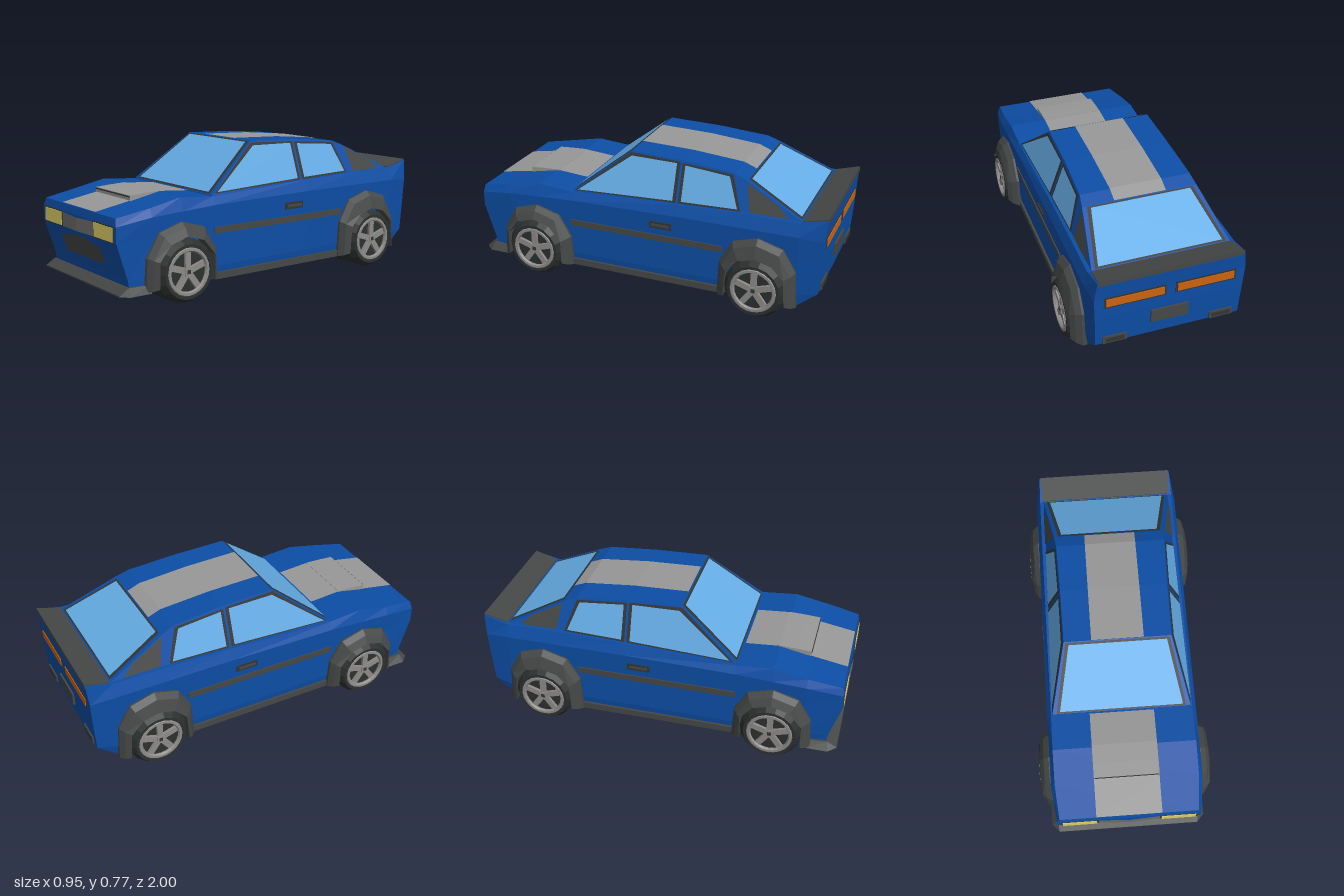
import * as THREE from 'three';

const colour = (name, hex) => new THREE.MeshStandardMaterial({ name, color: hex, flatShading: true, side: THREE.DoubleSide });
const M = {
  blue: colour('body blue', 0x0d4ea6),
  stripe: colour('stripe grey', 0x989898),
  trim: colour('trim grey', 0x454847),
  tyre: colour('tyre black', 0x2c302f),
  frame: colour('frame black', 0x333533),
  glass: colour('glass blue', 0x66aee8),
  lamp: colour('headlight yellow', 0xe0d26a),
  tail: colour('tail light orange', 0xcc6410),
  rim: colour('rim grey', 0x8e8a8a),
  grille: colour('grille grey', 0x6e6e6e),
};

function mesh(name, geometry, material) {
  const m = new THREE.Mesh(geometry, material);
  m.name = name;
  return m;
}

function box(name, material, w, h, d, x, y, z) {
  const m = mesh(name, new THREE.BoxGeometry(w, h, d), material);
  m.position.set(x, y, z);
  return m;
}

// Geometry from quads or polygons, each fanned into triangles
function faces(polygons) {
  const pos = [];
  for (const p of polygons)
    for (let i = 1; i < p.length - 1; i++) pos.push(...p[0], ...p[i], ...p[i + 1]);
  const g = new THREE.BufferGeometry();
  g.setAttribute('position', new THREE.Float32BufferAttribute(pos, 3));
  g.computeVertexNormals();
  return g;
}

const flip = ([x, y, z]) => [-x, y, z];

// Symmetric loft: each section lists its +x half from bottom to top, front to back
function loft(sections) {
  const rings = sections.map(s => [...s, ...s.map(flip).reverse()]);
  const quads = [];
  for (let j = 0; j < rings.length - 1; j++) {
    const a = rings[j], b = rings[j + 1], n = a.length;
    for (let i = 0; i < n; i++) {
      const k = (i + 1) % n;
      quads.push([a[i], b[i], b[k], a[k]]);
    }
  }
  const cap = s => s.slice(1).map((p, i) => [s[i], p, flip(p), flip(s[i])]);
  quads.push(...cap(sections[0]), ...cap(sections.at(-1)).map(q => q.reverse()));
  return faces(quads);
}

// Moves a flat outline off the surface and optionally shrinks it
function offset(points, lift, inset = 0) {
  const v = points.map(p => new THREE.Vector3(...p));
  const n = v[1].clone().sub(v[0]).cross(v[2].clone().sub(v[0])).normalize();
  const c = v.reduce((s, p) => s.add(p), new THREE.Vector3()).divideScalar(v.length);
  if (n.dot(c.clone().sub(new THREE.Vector3(0, 0.4, -0.2))) < 0) n.negate();
  return v.map(p => p.clone().add(c.clone().sub(p).normalize().multiplyScalar(inset)).addScaledVector(n, lift).toArray());
}

function windowPane(name, points) {
  const g = new THREE.Group();
  g.name = name;
  g.add(mesh('windowFrame', faces([offset(points, 0.003)]), M.frame));
  g.add(mesh('windowGlass', faces([offset(points, 0.006, 0.02)]), M.glass));
  return g;
}

// Strip across the car that follows a [z, y] profile
function stripe(name, w, profile) {
  const quads = profile.slice(1).map(([z, y], i) => {
    const [z0, y0] = profile[i];
    return [[-w, y0 + 0.004, z0], [w, y0 + 0.004, z0], [w, y + 0.004, z], [-w, y + 0.004, z]];
  });
  return mesh(name, faces(quads), M.stripe);
}

function wheel(z, side) {
  const g = new THREE.Group();
  g.name = 'wheel';
  const profile = [[0, 0.26], [0.165, 0.26], [0.165, 0.44], [0.142, 0.474], [0.126, 0.474], [0.118, 0.45], [0, 0.45]];
  const tyre = mesh('tyre', new THREE.LatheGeometry(profile.map(p => new THREE.Vector2(...p)), 18), M.tyre);
  tyre.rotation.z = -Math.PI / 2;
  g.add(tyre);
  const ring = mesh('rimRing', new THREE.TorusGeometry(0.114, 0.013, 6, 24), M.rim);
  ring.rotation.y = Math.PI / 2;
  ring.position.x = 0.465;
  g.add(ring);
  for (let i = 0; i < 5; i++) {
    const arm = new THREE.Group();
    arm.name = 'spokeArm';
    arm.add(box('spoke', M.rim, 0.016, 0.095, 0.032, 0.458, 0.062, 0));
    arm.rotation.x = i * Math.PI * 2 / 5;
    g.add(arm);
  }
  g.add(box('hub', M.rim, 0.024, 0.04, 0.04, 0.459, 0, 0));
  g.add(box('hubCap', M.frame, 0.004, 0.02, 0.02, 0.472, 0, 0));
  g.position.set(0, 0.165, z);
  if (side < 0) g.rotation.y = Math.PI;
  return g;
}

// Flared arch: body edge, slope, then a rim turned back into the body
function arch(z, rise, side) {
  const outline = [[0.215, 0.08], [0.205, 0.25], [0.135, 0.37], [0, 0.41], [-0.135, 0.37], [-0.205, 0.25], [-0.215, 0.08]];
  const rows = outline.map(([dz, h]) => {
    const y = h > 0.1 ? h + rise : h;
    const at = (x, k) => [side * x, Math.max(0.08, 0.165 + (y - 0.165) * k), z + dz * k];
    const inner = 0.178 / Math.hypot(dz, y - 0.165);
    return [at(0.39, 1), at(0.415, 1), at(0.445, 0.9), at(0.466, inner), at(0.39, inner)];
  });
  const quads = [];
  for (let i = 0; i < rows.length - 1; i++)
    for (let k = 0; k < 4; k++) {
      const q = [rows[i][k], rows[i][k + 1], rows[i + 1][k + 1], rows[i + 1][k]];
      quads.push(side > 0 ? q : q.reverse());
    }
  return mesh('wheelArch', faces(quads), M.trim);
}

export function createModel() {
  const car = new THREE.Group();
  car.name = 'car';

  // Lower body
  const station = (z, shoulder, top, topX = 0.385) =>
    [[0.39, 0.08, z], [0.4, 0.15, z], [0.403, 0.34, z], [0.408, shoulder, z], [topX, top, z]];
  car.add(mesh('body', loft([
    [[0.385, 0.08, 0.92], [0.385, 0.15, 0.93], [0.385, 0.34, 0.99], [0.385, 0.42, 0.99], [0.37, 0.46, 0.983]],
    station(0.8, 0.45, 0.492), station(0.62, 0.46, 0.528), station(0.42, 0.47, 0.512),
    station(-0.2, 0.48, 0.54), station(-0.6, 0.48, 0.55), station(-0.86, 0.48, 0.55),
    [[0.38, 0.08, -0.865], [0.385, 0.17, -0.97], [0.39, 0.35, -0.982], [0.395, 0.47, -0.987], [0.38, 0.585, -0.997]],
  ]), M.blue));

  // Cabin with planar leaning sides
  const sideX = y => 0.375 - 0.36 * (y - 0.52);
  const roof = [[0.42, 0.515], [0.1, 0.765], [-0.2, 0.755], [-0.48, 0.73], [-0.55, 0.702], [-0.86, 0.55]];
  car.add(mesh('cabin', loft(roof.map(([z, y]) => [[sideX(0.48), 0.48, z], [sideX(y), y, z]])), M.blue));

  // Windscreen and rear window
  const across = (x0, y0, z0, x1, y1, z1) => [[-x0, y0, z0], [x0, y0, z0], [x1, y1, z1], [-x1, y1, z1]];
  car.add(windowPane('windscreen', across(0.352, 0.517, 0.417, 0.278, 0.762, 0.104)));
  car.add(windowPane('rearWindow', across(0.345, 0.552, -0.855, 0.285, 0.7, -0.553)));

  // Racing stripes and hood scoop
  car.add(stripe('hoodStripe', 0.175, [[0.983, 0.46], [0.8, 0.492], [0.62, 0.528], [0.43, 0.513]]));
  car.add(stripe('roofStripe', 0.14, roof.slice(1, 5)));
  car.add(mesh('hoodScoop', loft([
    [[0.175, 0.48, 0.785], [0.175, 0.524, 0.785]],
    [[0.175, 0.48, 0.71], [0.175, 0.529, 0.71]],
    [[0.175, 0.48, 0.61], [0.175, 0.533, 0.61]],
  ]), M.stripe));
  car.add(box('scoopSlot', M.frame, 0.34, 0.006, 0.006, 0, 0.518, 0.786));

  // Nose: grille, lower intake and splitter
  car.add(mesh('grille', faces([1, -1].map(s =>
    [[s * 0.165, 0.34, 0.992], [0, 0.34, 1], [0, 0.41, 1], [s * 0.165, 0.415, 0.992]])), M.grille));
  const noseZ = y => 0.93 + (y - 0.15) * 0.316;
  const intake = [[-0.205, 0.2], [0.205, 0.2], [0.205, 0.29], [0, 0.32], [-0.205, 0.29]];
  car.add(mesh('lowerIntake', faces([offset(intake.map(([x, y]) => [x, y, noseZ(y)]), 0.004)]), M.trim));
  car.add(mesh('splitter', loft([
    [[0.39, 0.077, 0.985], [0.39, 0.084, 0.985]],
    [[0.43, 0.077, 0.94], [0.395, 0.115, 0.932]],
    [[0.43, 0.077, 0.82], [0.405, 0.115, 0.82]],
  ]), M.trim));

  // Tail: spoiler and plate panel
  car.add(mesh('spoiler', loft([
    [[0.37, 0.54, -0.865], [0.37, 0.556, -0.865]],
    [[0.375, 0.565, -0.999], [0.375, 0.592, -0.999]],
  ]), M.trim));
  car.add(box('platePanel', M.trim, 0.2, 0.075, 0.012, 0, 0.29, -0.984));

  for (const s of [1, -1]) {
    // Side glass and dark quarter panel
    const onSide = pts => pts.map(([z, y]) => [s * sideX(y), y, z]);
    car.add(windowPane('frontSideWindow', onSide([[0.405, 0.521], [0.105, 0.757], [-0.182, 0.745], [-0.182, 0.54]])));
    car.add(windowPane('rearSideWindow', onSide([[-0.195, 0.742], [-0.475, 0.722], [-0.537, 0.55], [-0.195, 0.54]])));
    const quarter = onSide([[-0.555, 0.692], [-0.73, 0.608], [-0.79, 0.552], [-0.585, 0.552]]);
    car.add(mesh('quarterPanel', faces([offset(quarter, 0.004)]), M.trim));

    // Side trim and door handle
    car.add(box('sideMoulding', M.trim, 0.02, 0.035, 0.88, s * 0.4, 0.338, -0.015));
    car.add(box('sideSkirt', M.trim, 0.03, 0.036, 0.86, s * 0.393, 0.097, -0.015));
    car.add(box('handlePlate', M.frame, 0.008, 0.038, 0.125, s * 0.405, 0.412, -0.108));
    car.add(box('handleBar', M.trim, 0.012, 0.014, 0.1, s * 0.407, 0.412, -0.108));

    // Lights and exhausts
    car.add(box('headlightFrame', M.frame, 0.202, 0.084, 0.006, s * 0.265, 0.378, 0.99));
    car.add(box('headlight', M.lamp, 0.184, 0.072, 0.008, s * 0.265, 0.378, 0.992));
    car.add(box('tailLightFrame', M.frame, 0.32, 0.064, 0.01, s * 0.185, 0.445, -0.984));
    car.add(box('tailLight', M.tail, 0.3, 0.045, 0.014, s * 0.185, 0.445, -0.986));
    car.add(box('exhaustSurround', M.trim, 0.125, 0.042, 0.03, s * 0.285, 0.195, -0.965));
    car.add(box('exhaustOpening', M.frame, 0.1, 0.024, 0.006, s * 0.285, 0.195, -0.98));

    // Wheels and arches
    for (const [z, rise] of [[0.63, 0], [-0.65, 0.03]]) {
      car.add(wheel(z, s));
      car.add(arch(z, rise, s));
    }
  }
  return car;
}
